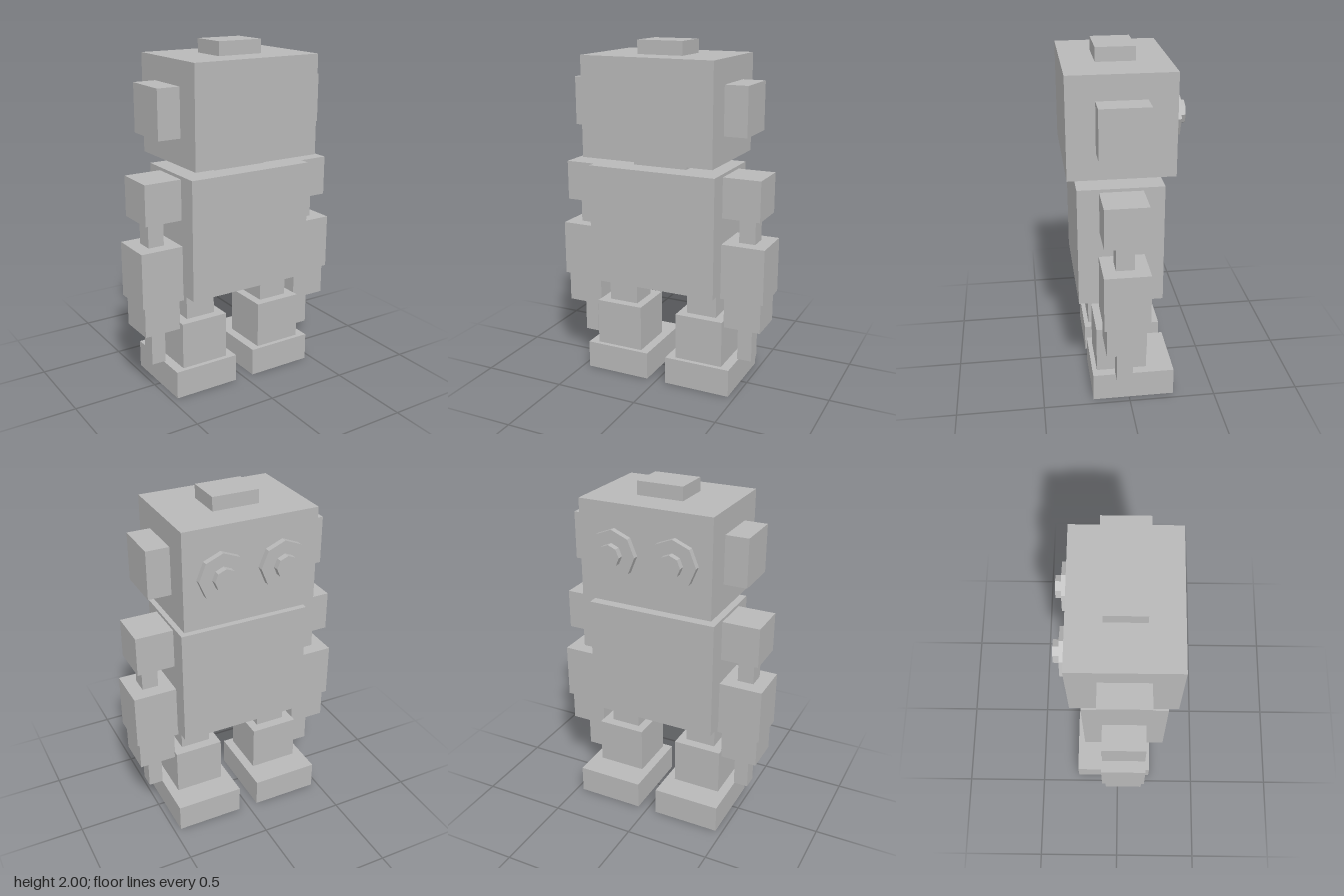
import * as THREE from 'three';

const grey = new THREE.MeshStandardMaterial({ color: 0xb8b8b8 });
grey.name = 'grey';

// Box given by its extents on each axis
function block(parent, name, [x0, x1], [y0, y1], [z0, z1]) {
  const mesh = new THREE.Mesh(new THREE.BoxGeometry(x1 - x0, y1 - y0, z1 - z0), grey);
  mesh.position.set((x0 + x1) / 2, (y0 + y1) / 2, (z0 + z1) / 2);
  mesh.name = name;
  parent.add(mesh);
}

// Octagonal disc lying against the head, from z0 to z1
function disc(parent, name, x, y, radius, z0, z1) {
  const geometry = new THREE.CylinderGeometry(radius, radius, z1 - z0, 8).toNonIndexed();
  geometry.computeVertexNormals();
  geometry.rotateX(Math.PI / 2);
  const mesh = new THREE.Mesh(geometry, grey);
  mesh.position.set(x, y, (z0 + z1) / 2);
  mesh.name = name;
  parent.add(mesh);
}

// Parts on one side: name, x (for the left side), y and z extents
const limbs = {
  Ear: [['ear', [0.39, 0.525], [1.51, 1.785], [-0.1, 0.172]]],
  Arm: [
    ['shoulder', [0.385, 0.605], [1.05, 1.282], [-0.083, 0.157]],
    ['upperArm', [0.463, 0.558], [0.9, 1.05], [-0.012, 0.09]],
    ['forearm', [0.382, 0.638], [0.578, 0.9], [-0.092, 0.163]],
    ['wrist', [0.402, 0.62], [0.4, 0.578], [-0.072, 0.148]],
    ['hand', [0.466, 0.552], [0.186, 0.4], [-0.006, 0.084]],
  ],
  Leg: [
    ['thigh', [0.165, 0.346], [0.44, 0.61], [-0.05, 0.13]],
    ['shin', [0.114, 0.404], [0.165, 0.44], [-0.107, 0.183]],
    ['foot', [0.06, 0.46], [0, 0.165], [-0.262, 0.21]],
  ],
};

export function createModel() {
  const robot = new THREE.Group();
  robot.name = 'robot';

  // Trunk and head
  block(robot, 'torso', [-0.385, 0.385], [0.61, 1.3], [-0.2, 0.277]);
  block(robot, 'neck', [-0.163, 0.163], [1.3, 1.358], [-0.072, 0.148]);
  block(robot, 'head', [-0.392, 0.392], [1.358, 1.922], [-0.257, 0.327]);
  block(robot, 'headCap', [-0.136, 0.136], [1.922, 2], [-0.073, 0.146]);

  for (const side of [1, -1]) {
    const prefix = side > 0 ? 'left' : 'right';

    // Ears, arms and legs
    for (const [limb, parts] of Object.entries(limbs)) {
      const group = new THREE.Group();
      group.name = prefix + limb;
      for (const [name, x, y, z] of parts) {
        block(group, name, side > 0 ? x : [-x[1], -x[0]], y, z);
      }
      robot.add(group);
    }

    // Stepped round eyes
    const eye = new THREE.Group();
    eye.name = prefix + 'Eye';
    disc(eye, 'eyeRim', side * 0.179, 1.648, 0.137, -0.291, -0.257);
    disc(eye, 'pupil', side * 0.179, 1.648, 0.064, -0.327, -0.291);
    robot.add(eye);
  }
  return robot;
}
